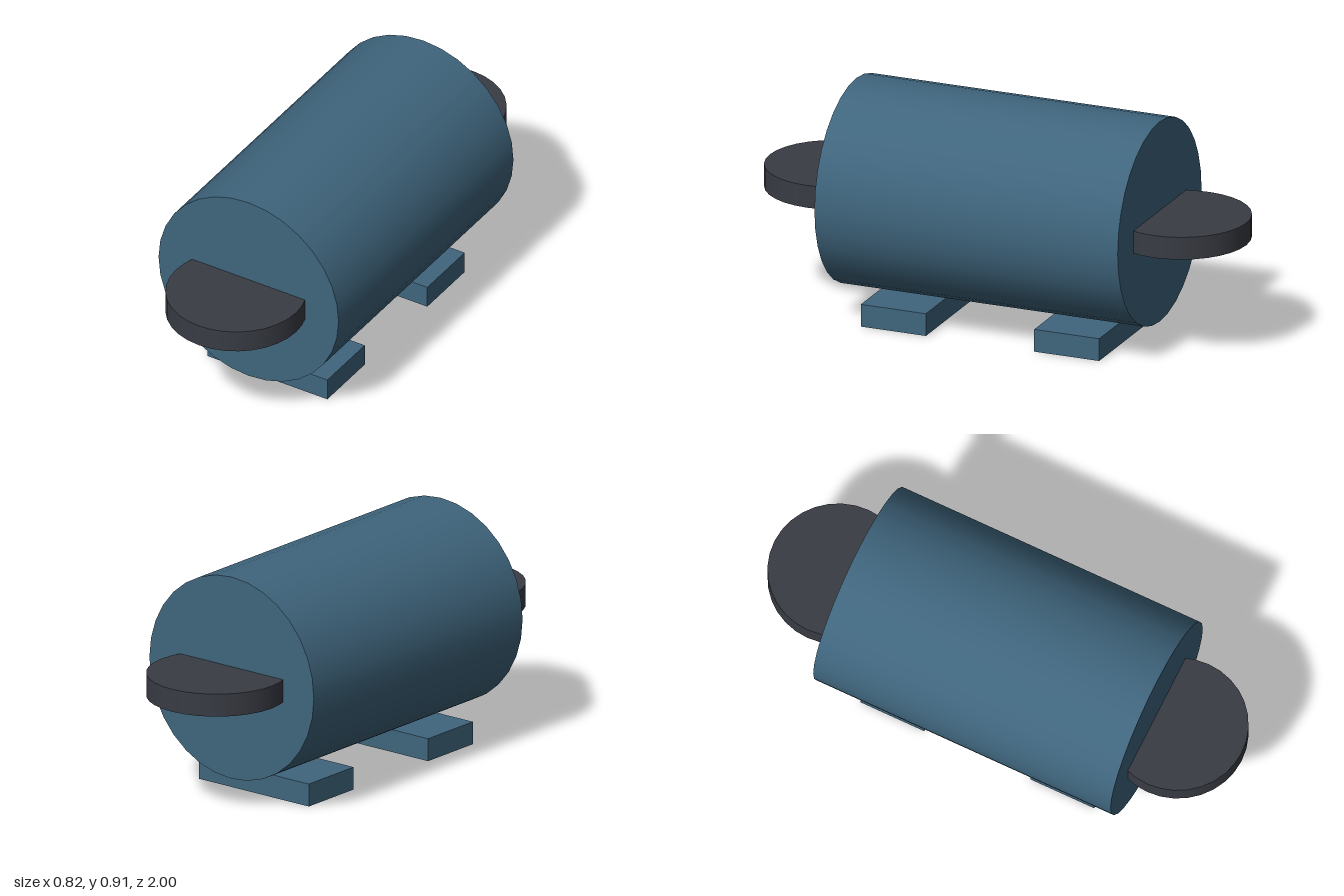
import * as THREE from 'three';

export function createModel() {
  const model = new THREE.Group();
  const U = 1 / 11; // base module of the design

  const blue = new THREE.MeshStandardMaterial({ color: 0x3f657d });
  blue.name = 'steel blue';
  const dark = new THREE.MeshStandardMaterial({ color: 0x393c44 });
  dark.name = 'dark grey';

  const add = (name, geometry, material, x, y, z) => {
    const mesh = new THREE.Mesh(geometry, material);
    mesh.name = name;
    mesh.position.set(x, y, z);
    model.add(mesh);
    return mesh;
  };

  // Horizontal tank body, lying along z
  const body = new THREE.CylinderGeometry(4.5 * U, 4.5 * U, 14 * U, 32);
  body.rotateX(Math.PI / 2);
  add('tankBody', body, blue, 0, 5.5 * U, 0);

  // End discs and support feet, mirrored front to back
  const disc = new THREE.CylinderGeometry(3 * U, 3 * U, U, 32);
  const foot = new THREE.BoxGeometry(6 * U, U, 3 * U);
  for (const [side, s] of [['front', 1], ['back', -1]]) {
    add(side + 'Disc', disc, dark, 0, 5.5 * U, s * 8 * U);
    add(side + 'Foot', foot, blue, 0, 0.5 * U, s * 4 * U);
  }

  return model;
}
